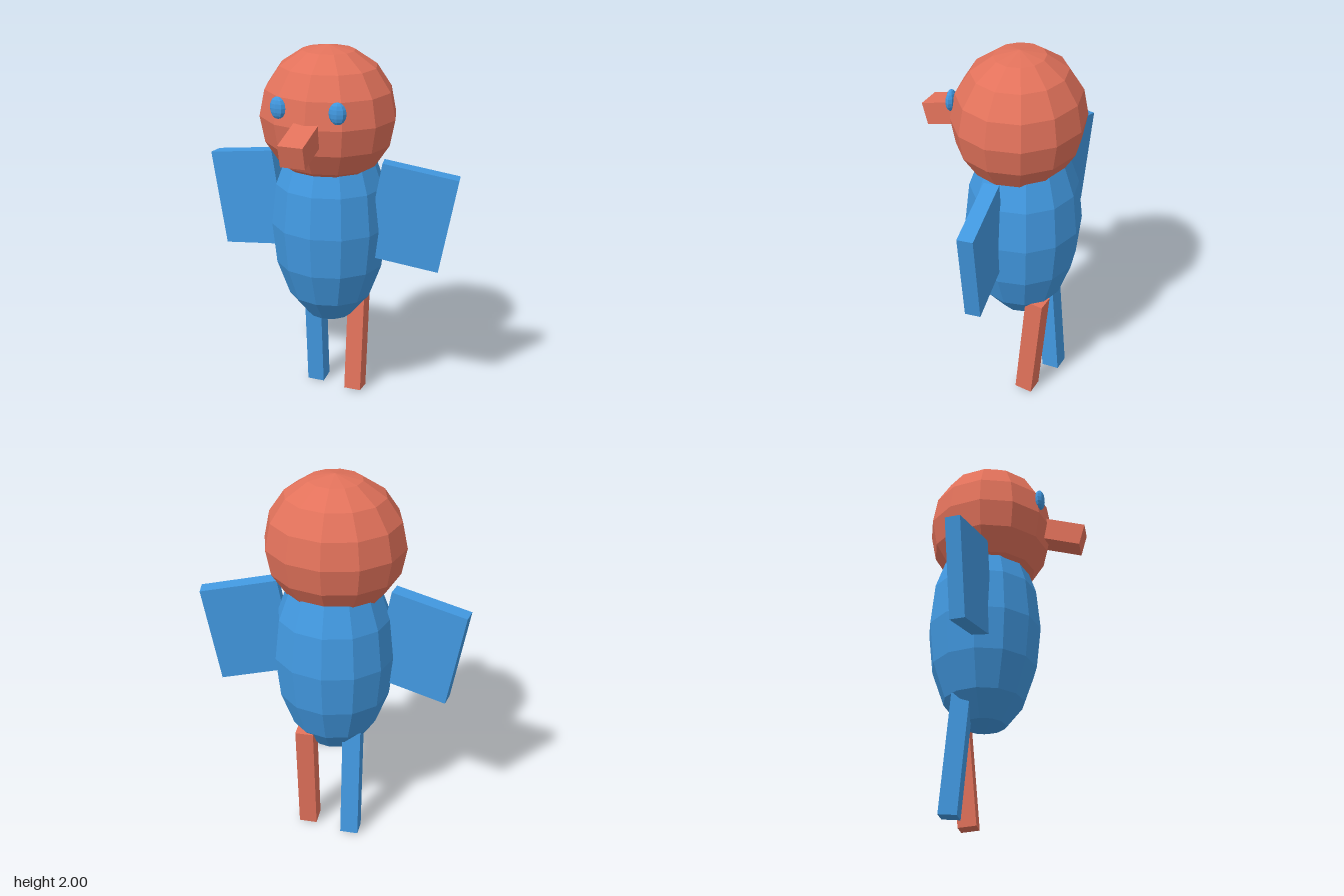
import * as THREE from 'three';

export function createModel() {
  const model = new THREE.Group();
  model.name = 'bird';
  const coral = new THREE.MeshStandardMaterial({ color: 0xe2725b, flatShading: true });
  coral.name = 'coral red';
  const blue = new THREE.MeshStandardMaterial({ color: 0x4299e1, flatShading: true });
  blue.name = 'sky blue';

  const add = (name, geometry, material, position, rotation = [0, 0, 0]) => {
    const mesh = new THREE.Mesh(geometry, material);
    mesh.name = name;
    mesh.position.set(...position);
    mesh.rotation.set(...rotation);
    model.add(mesh);
    return mesh;
  };
  const ellipsoid = (rx, ry, rz, around, rings) =>
    new THREE.SphereGeometry(1, around, rings).scale(rx, ry, rz);

  // Body and head
  add('body', ellipsoid(0.315, 0.575, 0.3, 12, 8), blue, [0, 1.04, -0.125]);
  add('head', ellipsoid(0.36, 0.36, 0.335, 12, 8), coral, [0, 1.64, -0.093]);

  // Beak, dipping forward
  add('beak', new THREE.BoxGeometry(0.13, 0.12, 0.25), coral, [0, 1.585, 0.292], [0.27, 0, 0]);

  // Eyes and wings, mirrored
  const tilt = THREE.MathUtils.degToRad(10);
  for (const [side, s] of [['left', 1], ['right', -1]]) {
    add(side + 'Eye', ellipsoid(0.045, 0.057, 0.025, 8, 8), blue, [s * 0.157, 1.73, 0.2], [0, s * 0.15, 0]);
    add(side + 'Wing', new THREE.BoxGeometry(0.4, 0.52, 0.08), blue,
      [s * 0.45, 1.125, -0.124], [0, s * tilt, -s * tilt]);
  }

  // Legs, swinging opposite ways
  const leg = new THREE.BoxGeometry(0.095, 0.626, 0.096);
  add('leftLeg', leg, coral, [0.119, 0.319, -0.245], [-0.087, 0, 0]);
  add('rightLeg', leg, blue, [-0.121, 0.316, -0.242], [0.087, 0, 0]);

  return model;
}
